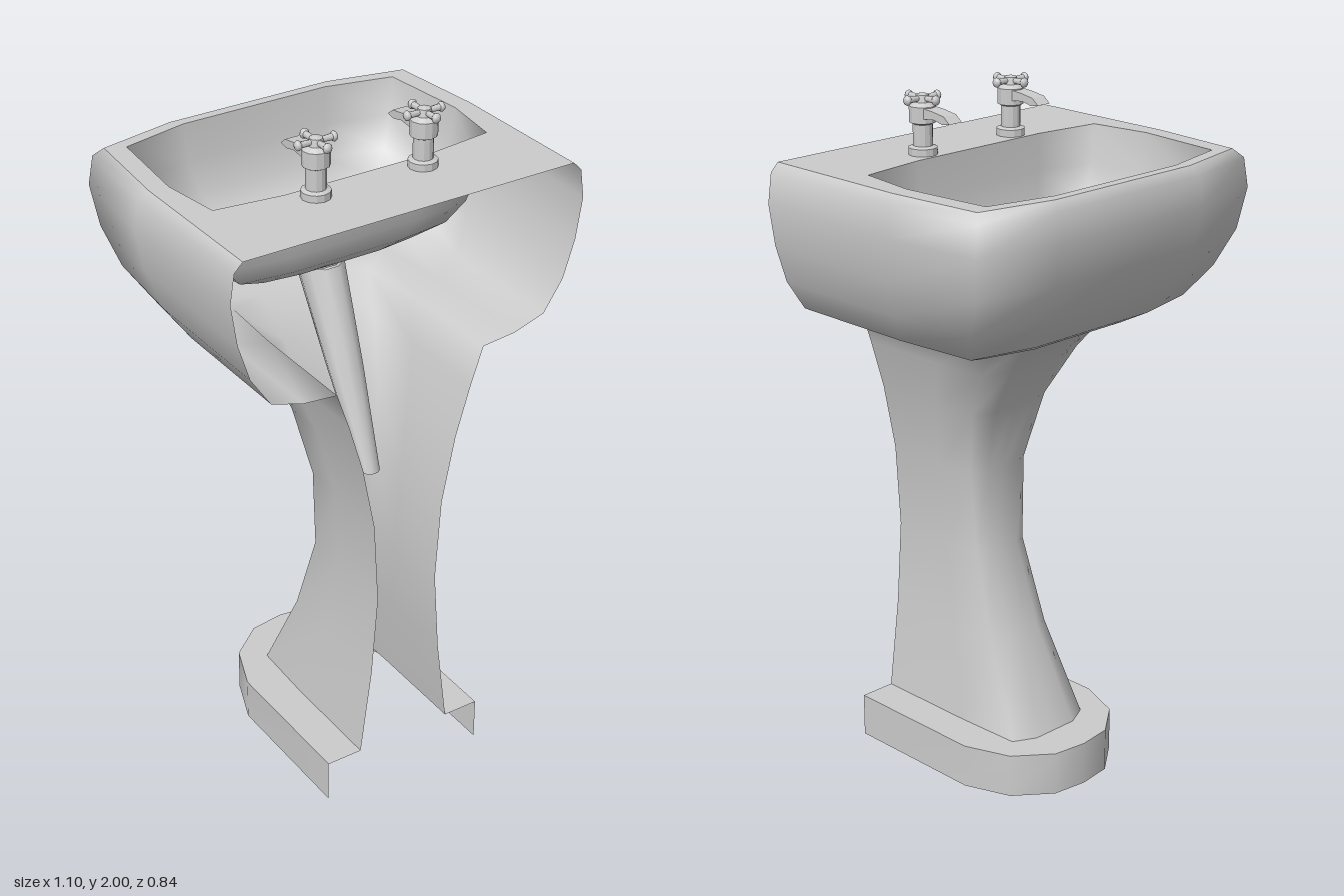
import * as THREE from 'three';

const material = new THREE.MeshStandardMaterial({ color: 0xcccccc, side: THREE.DoubleSide });
const BACK = 0.42, TOP = 1.83, DRAIN_Z = -0.03;

function addMesh(parent, name, geometry) {
  const mesh = new THREE.Mesh(geometry, material);
  mesh.name = name;
  parent.add(mesh);
  return mesh;
}

// Skin a list of equal-length rings of [x, y, z] points, listed from top to bottom
function loft(rings, closed) {
  const n = rings[0].length, index = [];
  for (let r = 0; r < rings.length - 1; r++) {
    for (let i = 0; i < (closed ? n : n - 1); i++) {
      const a = r * n + i, b = r * n + (i + 1) % n;
      index.push(a, b, a + n, b, b + n, a + n);
    }
  }
  const geometry = new THREE.BufferGeometry();
  geometry.setAttribute('position', new THREE.Float32BufferAttribute(rings.flat(2), 3));
  geometry.setIndex(index);
  geometry.computeVertexNormals();
  return geometry;
}

// Open-backed outline: half width and front z scale a normalised half section
const BODY = [[1, 0], [1, 0.58], [0.95, 0.94], [0.5, 1], [0, 1]];
const FOOT = [[1, 0], [1, 0.66], [0.8, 0.86], [0.4, 0.98], [0, 1]];
function section(half, y, halfWidth, front) {
  const right = half.map(([u, v]) => [u * halfWidth, y, BACK - v * (BACK - front)]);
  const left = right.slice(0, -1).reverse().map(([x, h, z]) => [-x, h, z]);
  return [...right, ...left];
}

// Basin skirt flowing into the pedestal: [y, half width, front z]
const BODY_LEVELS = [
  [TOP, 0.51, -0.385], [1.805, 0.535, -0.41], [1.72, 0.548, -0.417], [1.6, 0.53, -0.395],
  [1.49, 0.495, -0.34], [1.4, 0.435, -0.275], [1.37, 0.34, -0.22], [1.36, 0.235, -0.15],
  [1.25, 0.197, -0.06], [1.1, 0.152, 0.03], [0.9, 0.112, 0.08], [0.65, 0.097, 0.07],
  [0.4, 0.115, -0.01], [0.13, 0.15, -0.14],
];

// Bowl opening as [x, z]
const OPENING = [
  [0.43, 0.14], [0.455, -0.04], [0.43, -0.31], [0.23, -0.355], [-0.23, -0.355],
  [-0.43, -0.31], [-0.455, -0.04], [-0.43, 0.14], [-0.23, 0.165], [0.23, 0.165],
];

function drainRing(y, radius, z) {
  return OPENING.map((_, i) => {
    const a = (1 - i) * Math.PI / 5;
    return [radius * Math.cos(a), y, z + radius * Math.sin(a)];
  });
}

function createDeck() {
  const toVectors = (points) => points.map(([x, z]) => new THREE.Vector2(x, -z));
  const shape = new THREE.Shape(toVectors(section(BODY, TOP, 0.51, -0.385).map(([x, , z]) => [x, z])));
  shape.holes.push(new THREE.Path(toVectors(OPENING)));
  return new THREE.ShapeGeometry(shape).rotateX(-Math.PI / 2).translate(0, TOP, 0);
}

function createBowl() {
  const levels = [[TOP, 1], [1.72, 0.97], [1.63, 0.89], [1.57, 0.77], [1.53, 0.55]];
  const rings = levels.map(([y, s]) => OPENING.map(([x, z]) => [x * s, y, DRAIN_Z + (z - DRAIN_Z) * s]));
  rings.push(drainRing(1.515, 0.062, DRAIN_Z));
  return loft(rings, true);
}

function createTap() {
  const tap = new THREE.Group();
  // Turned body with foot flange, stem and valve housing
  const profile = [
    [0.041, 0], [0.041, 0.02], [0.028, 0.025], [0.028, 0.085], [0.038, 0.09],
    [0.038, 0.135], [0.022, 0.145], [0.018, 0.165], [0, 0.17],
  ].map(([r, y]) => new THREE.Vector2(r, y));
  const body = new THREE.LatheGeometry(profile, 12).toNonIndexed();
  body.computeVertexNormals();
  addMesh(tap, 'tapBody', body);

  // Spout reaching over the bowl
  const side = new THREE.Shape([
    [0, 0.1], [0, 0.135], [0.065, 0.13], [0.11, 0.123], [0.132, 0.105], [0.105, 0.1], [0.07, 0.108],
  ].map(([d, y]) => new THREE.Vector2(d, y)));
  const spout = new THREE.ExtrudeGeometry(side, { depth: 0.046, bevelEnabled: false });
  addMesh(tap, 'spout', spout.translate(0, 0, -0.023).rotateY(Math.PI / 2));

  // Cross handle with knobbed ends
  for (let i = 0; i < 4; i++) {
    const arm = new THREE.Group();
    arm.name = 'handleArm';
    arm.rotation.y = i * Math.PI / 2;
    addMesh(arm, 'bar', new THREE.CylinderGeometry(0.01, 0.007, 0.055, 8).rotateZ(-Math.PI / 2).translate(0.0275, 0.155, 0));
    addMesh(arm, 'knob', new THREE.SphereGeometry(0.014, 8, 6).scale(0.7, 1, 1).translate(0.054, 0.155, 0));
    tap.add(arm);
  }
  return tap;
}

export function createModel() {
  const sink = new THREE.Group();
  sink.name = 'pedestalSink';

  addMesh(sink, 'basinAndPedestal', loft(BODY_LEVELS.map(([y, w, f]) => section(BODY, y, w, f)), false));
  addMesh(sink, 'deck', createDeck());
  addMesh(sink, 'bowl', createBowl());

  // Tapered waste pipe slanting to the back
  addMesh(sink, 'drainNeck', loft([drainRing(1.515, 0.062, DRAIN_Z), drainRing(1.495, 0.062, DRAIN_Z)], true));
  addMesh(sink, 'wastePipe', loft([
    drainRing(1.495, 0.07, DRAIN_Z), drainRing(1.22, 0.052, 0.1), drainRing(0.945, 0.028, 0.23),
  ], true));

  // Plinth: flat ledge and upright wall
  const plinthTop = section(FOOT, 0.13, 0.26, -0.26);
  addMesh(sink, 'plinthLedge', loft([section(BODY, 0.13, 0.15, -0.14), plinthTop], false));
  addMesh(sink, 'plinthWall', loft([plinthTop, section(FOOT, 0, 0.26, -0.26)], false));

  // Pair of taps
  for (const s of [1, -1]) {
    const tap = createTap();
    tap.name = s > 0 ? 'leftTap' : 'rightTap';
    tap.position.set(s * 0.167, TOP, 0.215);
    sink.add(tap);
  }
  return sink;
}
